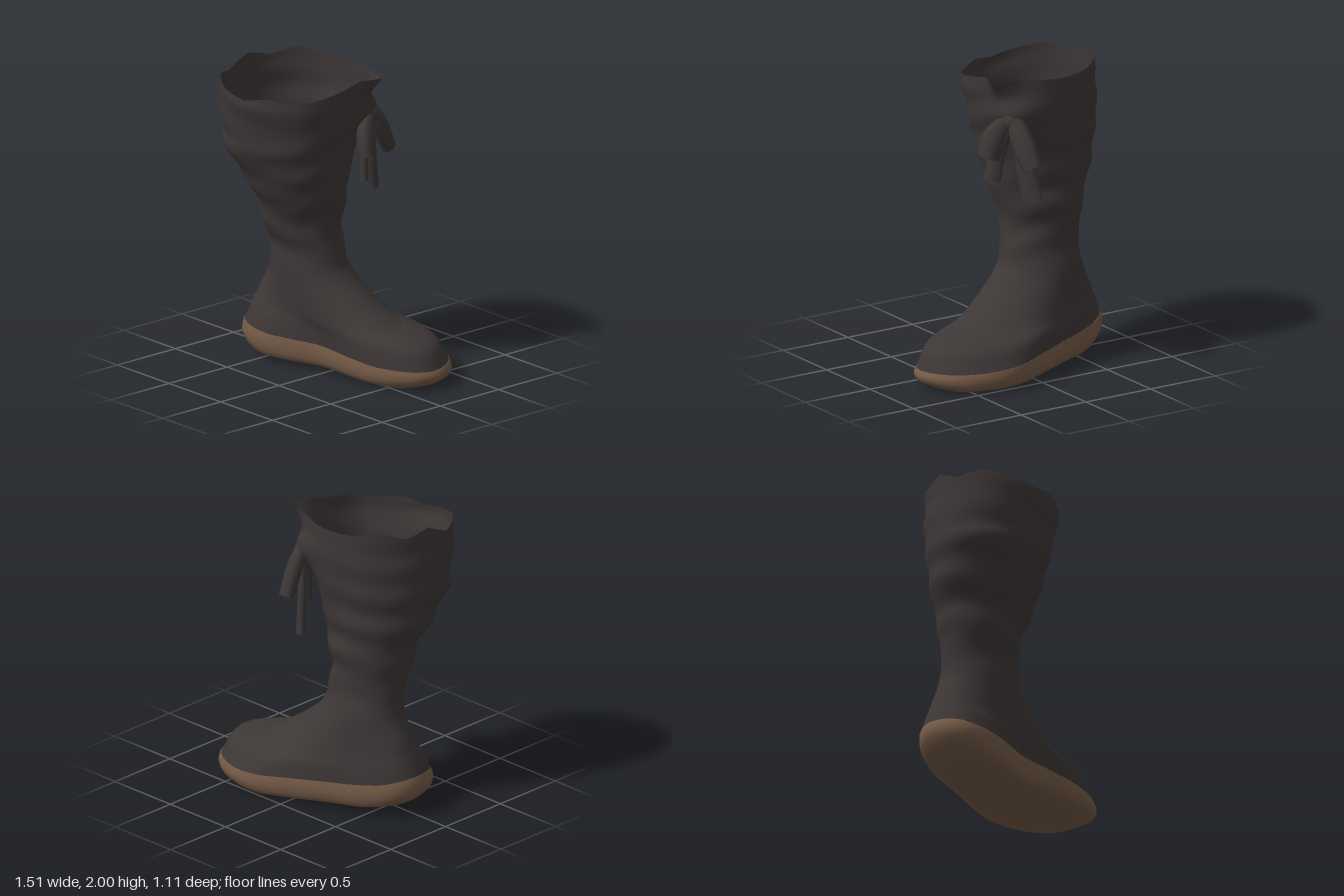
import * as THREE from 'three';

const COLS = 48;
const V = (x, y, z) => new THREE.Vector3(x, y, z);
const { lerp, smoothstep } = THREE.MathUtils;

// Skin closed rings of equal length, listed from bottom to top
function loft(rings, material, name) {
  const n = rings[0].length, pos = [], idx = [];
  rings.forEach(r => r.forEach(p => pos.push(p.x, p.y, p.z)));
  for (let j = 0; j < rings.length - 1; j++) {
    for (let i = 0; i < n; i++) {
      const a = j * n + i, b = j * n + (i + 1) % n, c = a + n, d = b + n;
      idx.push(a, c, b, b, c, d);
    }
  }
  const g = new THREE.BufferGeometry();
  g.setAttribute('position', new THREE.Float32BufferAttribute(pos, 3));
  g.setIndex(idx);
  g.computeVertexNormals();
  const mesh = new THREE.Mesh(g, material);
  mesh.name = name;
  return mesh;
}

// Linear lookup in a list of [input, output] pairs
function table(pairs, x) {
  if (x <= pairs[0][0]) return pairs[0][1];
  for (let i = 1; i < pairs.length; i++) {
    const [x0, y0] = pairs[i - 1], [x1, y1] = pairs[i];
    if (x <= x1) return lerp(y0, y1, (x - x0) / (x1 - x0));
  }
  return pairs[pairs.length - 1][1];
}

// Footprint, from the toe round the inner side to the heel and back
const footprint = new THREE.CatmullRomCurve3([
  [.755, -.2], [.7, -.06], [.47, .07], [.2, .11], [-.05, .13], [-.25, .21], [-.45, .27], [-.655, .235],
  [-.75, .05], [-.73, -.1], [-.6, -.21], [-.3, -.34], [0, -.48], [.2, -.55], [.41, -.535], [.65, -.41],
].map(([x, z]) => V(x, 0, z)), true);
const outline = Array.from({ length: COLS }, (_, i) => footprint.getPoint(i / COLS));
const soleTop = x => table([[-.74, .27], [-.6, .225], [-.4, .2], [0, .18], [.45, .14], [.75, .13]], x);
const soleBottom = x => table([[-.75, .09], [-.62, .06], [-.48, .035], [0, .025], [.58, .002], [.75, .03]], x);

// Footprint ring shrunk towards its middle, at height t between the sole's bottom and top
function soleRing(scale, t) {
  return outline.map(p => {
    const x = -.02 + (p.x + .02) * scale, z = -.13 + (p.z + .13) * scale;
    return V(x, lerp(soleBottom(x), soleTop(x), t), z);
  });
}

// Hollow sole, open at the top where the upper joins it
function makeSole(material) {
  return loft([soleRing(0, 0), soleRing(.3, 0), soleRing(.6, 0), soleRing(.8, 0), soleRing(.92, .08),
    soleRing(.98, .3), soleRing(1, .55), soleRing(.995, .8), soleRing(.975, 1)], material, 'sole');
}

// Horizontal slices of the leg: y, x from, x to, z from, z to
const SLICES = [
  [.65, -.58, 0, -.255, .2], [.8, -.57, -.03, -.22, .2], [.95, -.6, -.05, -.23, .26],
  [1.1, -.62, -.01, -.25, .3], [1.2, -.66, .02, -.25, .36], [1.3, -.7, .04, -.26, .4],
  [1.4, -.71, .05, -.27, .45], [1.5, -.735, .07, -.28, .5], [1.6, -.74, .09, -.3, .5],
  [1.8, -.735, .13, -.32, .54], [1.94, -.73, .14, -.32, .54],
];
// Ragged rim heights round the opening, from +x towards +z
const RIM = [1.93, 1.9, 1.88, 1.9, 1.87, 1.9, 1.94, 1.91, 1.99, 1.95, 2, 1.97, 1.96, 1.97, 1.98, 1.97];
// How far the foot narrows, and how far it rises, on the way from sole to ankle
const TOE = [[.1, .25], [.36, .38], [.45, .4], [.73, .64]];
const SIDE = [[.2, .22], [.5, .36], [.65, .48], [.83, .72]];
const HEEL = [[.22, .25], [.4, .42], [.55, .58], [.8, .79]];

// Point on a slice; the wide part of the leg is fuller at one corner and flatter at the next
function slicePoint([y, x0, x1, z0, z1], a) {
  const full = .09 * Math.max(0, Math.cos(2 * (a - 2.36)));
  const flat = Math.abs(a - 1.05) < .52 ? .06 * Math.cos(3 * (a - 1.05)) : 0;
  const r = (1 + (full - flat) * smoothstep(y, 1.2, 1.5)) / 2;
  return V((x0 + x1) / 2 + Math.cos(a) * (x1 - x0) * r, y, (z0 + z1) / 2 + Math.sin(a) * (z1 - z0) * r);
}

function makeUpper(material) {
  const start = soleRing(.97, 1);
  const steps = 72;
  const columns = start.map((base, i) => {
    const a = i / COLS * Math.PI * 2;
    const ankle = slicePoint(SLICES[0], a);
    const side = Math.sin(a) ** 2;
    const ends = Math.cos(a) > 0 ? TOE : HEEL;
    const path = [base];
    // Foot, rounded over the toes and straight at the heel
    SIDE.forEach(([ss, sh], k) => {
      const s = lerp(ends[k][0], ss, side), h = lerp(ends[k][1], sh, side);
      path.push(V(lerp(base.x, ankle.x, s), lerp(base.y, ankle.y, h), lerp(base.z, ankle.z, s)));
    });
    SLICES.forEach(s => path.push(slicePoint(s, a)));
    // Rim height, with a small flap turned out above the bow
    const k = i * RIM.length / COLS, k0 = Math.floor(k);
    const rim = path[path.length - 1];
    rim.y = lerp(RIM[k0], RIM[(k0 + 1) % RIM.length], k - k0);
    const flap = .12 * Math.exp(-(((k - 14.33) / .45) ** 2));
    rim.x += flap;
    rim.z -= flap * .3;
    const curve = new THREE.CatmullRomCurve3(path);
    return Array.from({ length: steps + 1 }, (_, j) => {
      const p = curve.getPoint(j / steps);
      // Slouching folds in the leg
      const amount = .009 * smoothstep(p.y, .6, 1) * (1 - smoothstep(p.y, 1.8, 1.95));
      const fold = Math.sin(27 * p.y + 2.5 * Math.sin(a + .5) + Math.sin(2 * a)) * (.65 + .35 * Math.sin(3 * a + 5 * p.y));
      // Cloth gathered outwards into the knot of the bow
      const gather = .08 * Math.exp(-(((a - 5.5) / .32) ** 2) - ((p.y - 1.73) / .11) ** 2);
      p.x += Math.cos(a) * amount * fold + .75 * gather;
      p.z += Math.sin(a) * amount * fold - .66 * gather;
      return p;
    });
  });
  const rings = Array.from({ length: steps + 1 }, (_, j) => columns.map(c => c[j]));
  return loft(rings, material, 'upper');
}

// Flattened ribbon along a path, lying against the leg, with an open end
function makeRibbon(points, widths, thick, material, name) {
  const curve = new THREE.CatmullRomCurve3(points.map(p => V(...p)));
  const out = V(.75, 0, -.66), rings = [], steps = 8, sides = 8;
  for (let j = 0; j <= steps; j++) {
    const t = j / steps, c = curve.getPoint(t), tan = curve.getTangent(t);
    const across = V().crossVectors(tan, out).normalize();
    const normal = V().crossVectors(across, tan).normalize();
    const f = t * (widths.length - 1), k = Math.min(Math.floor(f), widths.length - 2);
    const w = lerp(widths[k], widths[k + 1], f - k) / 2;
    rings.push(Array.from({ length: sides }, (_, i) => {
      const a = -i / sides * Math.PI * 2;
      return c.clone().addScaledVector(across, Math.cos(a) * w).addScaledVector(normal, Math.sin(a) * thick * (.5 + w * 5));
    }));
  }
  return loft(rings, material, name);
}

function makeBow(material) {
  const bow = new THREE.Group();
  bow.name = 'bow';
  const knot = new THREE.Mesh(new THREE.SphereGeometry(.055, 10, 8), material);
  knot.name = 'knot';
  knot.position.set(.06, 1.7, -.23);
  knot.scale.set(1, 1.2, 1.1);
  bow.add(knot,
    makeRibbon([[.06, 1.71, -.21], [.115, 1.6, -.14], [.165, 1.45, -.115]], [.1, .14, .17, .15], .065, material, 'frontLoop'),
    makeRibbon([[.05, 1.71, -.25], [.045, 1.6, -.325], [.025, 1.43, -.42]], [.1, .15, .16, .13], .06, material, 'backLoop'),
    makeRibbon([[.06, 1.69, -.23], [.1, 1.5, -.15], [.135, 1.29, -.115]], [.06, .1, .12], .035, material, 'frontTail'),
    makeRibbon([[.05, 1.69, -.25], [.01, 1.45, -.29], [-.03, 1.17, -.345]], [.08, .12, .15], .035, material, 'backTail'));
  return bow;
}

export function createModel() {
  const leather = new THREE.MeshStandardMaterial({ color: 0x3d3736, side: THREE.DoubleSide });
  leather.name = 'dark leather';
  const rubber = new THREE.MeshStandardMaterial({ color: 0x755b47, side: THREE.DoubleSide });
  rubber.name = 'brown sole';
  const boot = new THREE.Group();
  boot.name = 'boot';
  boot.add(makeSole(rubber), makeUpper(leather), makeBow(leather));
  return boot;
}
